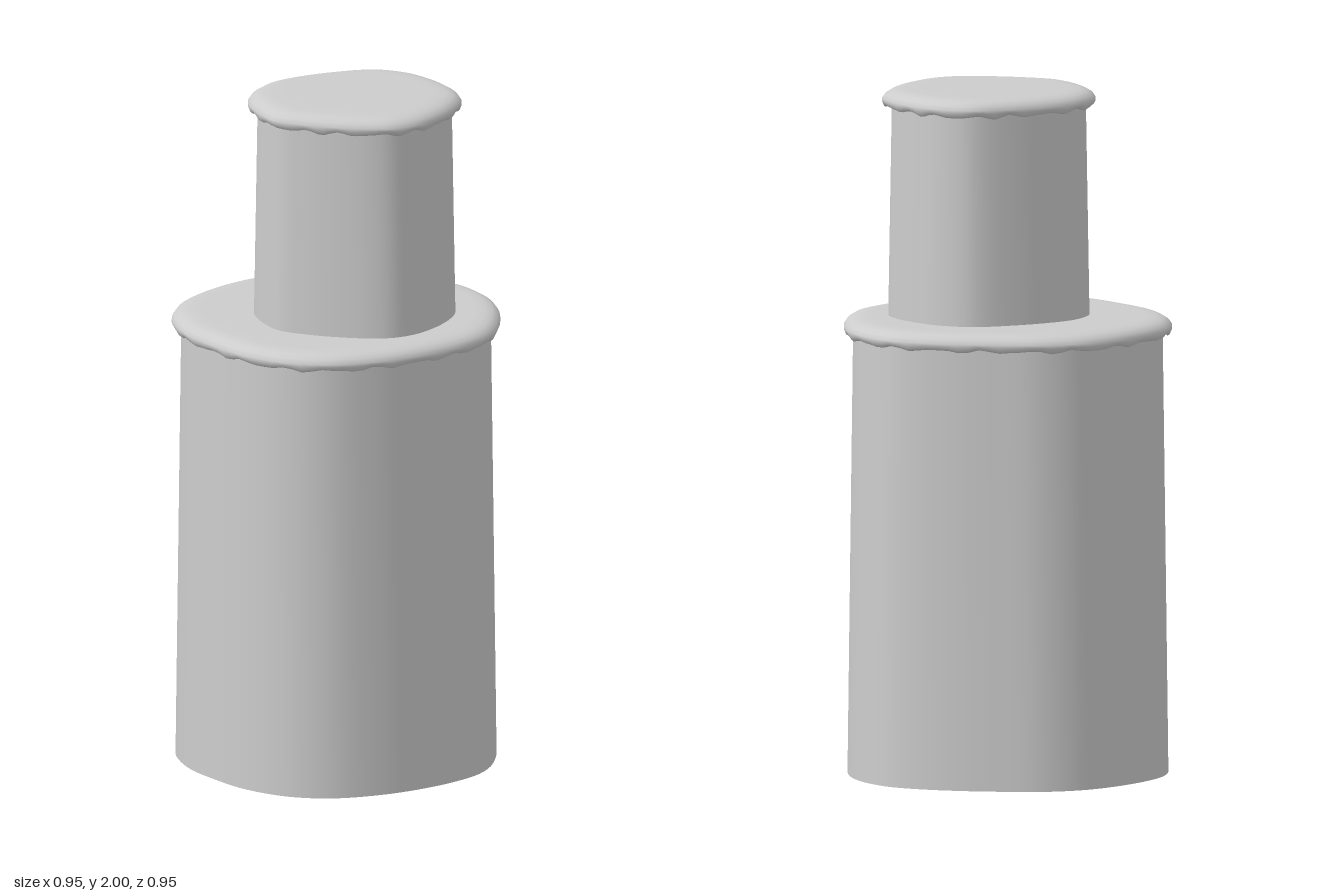
import * as THREE from 'three';

const SEG = 96;

// Closed smooth outline, as offsets from its own centre
function outline(points, cx, cz) {
  const curve = new THREE.CatmullRomCurve3(
    points.map(([x, z]) => new THREE.Vector3(x - cx, 0, z - cz)), true, 'centripetal');
  return curve.getSpacedPoints(SEG).slice(0, SEG);
}

// Skin through rings from top to bottom; each ring is [scale, y, waviness]
function loft(shape, cx, cz, rings, waves = 0) {
  const pos = [], index = [];
  for (const [s, y, wave = 0] of rings) {
    shape.forEach((p, j) => {
      const a = (j / SEG) * Math.PI * 2;
      const drip = wave * (0.65 * Math.sin(a * waves) + 0.35 * Math.sin(a * (waves * 2 - 9) + 1.3));
      pos.push(cx + p.x * s, y + drip, cz + p.z * s);
    });
  }
  for (let i = 0; i < rings.length - 1; i++) {
    for (let j = 0; j < SEG; j++) {
      const k = (j + 1) % SEG;
      const a = i * SEG + j, b = i * SEG + k, c = a + SEG, d = b + SEG;
      if (rings[i][0] > 0) index.push(a, b, c);
      index.push(b, d, c);
    }
  }
  const geo = new THREE.BufferGeometry();
  geo.setAttribute('position', new THREE.Float32BufferAttribute(pos, 3));
  geo.setIndex(index);
  geo.computeVertexNormals();
  return geo;
}

export function createModel() {
  const grey = new THREE.MeshStandardMaterial({ color: 0xcccccc, side: THREE.DoubleSide });
  grey.name = 'light grey';
  const model = new THREE.Group();
  model.name = 'steppedColumn';

  const lower = [
    [-0.05, -0.475], [0.1, -0.45], [0.2, -0.422], [0.3, -0.378], [0.387, -0.315], [0.445, -0.22],
    [0.471, -0.13], [0.477, -0.04], [0.466, 0.07], [0.44, 0.17], [0.4, 0.242], [0.32, 0.32],
    [0.22, 0.388], [0.1, 0.443], [-0.05, 0.472], [-0.18, 0.442], [-0.3, 0.352], [-0.39, 0.225],
    [-0.45, 0.11], [-0.479, -0.04], [-0.467, -0.13], [-0.44, -0.205], [-0.385, -0.285],
    [-0.29, -0.38], [-0.18, -0.45]];
  const upper = [
    [0.1, -0.281], [0.16, -0.275], [0.24, -0.228], [0.3, -0.155], [0.342, -0.075], [0.361, 0.015],
    [0.34, 0.1], [0.285, 0.2], [0.22, 0.272], [0.15, 0.309], [0.08, 0.312], [-0.02, 0.29],
    [-0.12, 0.25], [-0.2, 0.198], [-0.243, 0.1], [-0.261, 0], [-0.245, -0.08], [-0.19, -0.162],
    [-0.1, -0.22], [0, -0.259]];

  // One tier: open tapering wall plus a soft cap with a wavy overhanging lip
  function tier(name, points, cx, cz, radius, top, base, topScale, baseScale, waves) {
    const shape = outline(points, cx, cz);
    const inset = (d) => 1 - d / radius;
    const wall = loft(shape, cx, cz, [[topScale, top - 0.02], [baseScale, base]]);
    const cap = loft(shape, cx, cz, [
      [0, top], [0.5, top], [inset(0.075), top], [inset(0.045), top - 0.002],
      [inset(0.024), top - 0.007], [inset(0.009), top - 0.016], [inset(0.001), top - 0.028],
      [inset(0.001), top - 0.037, 0.002], [inset(0.006), top - 0.047, 0.005],
      [inset(0.012), top - 0.05, 0.006], [inset(0.018), top - 0.045, 0.005],
      [topScale, top - 0.036, 0.003]], waves);
    for (const [part, geo] of [['Wall', wall], ['Cap', cap]]) {
      const mesh = new THREE.Mesh(geo, grey);
      mesh.name = name + part;
      model.add(mesh);
    }
  }

  tier('lower', lower, 0, 0, 0.477, 1.337, 0, 0.94, 0.975, 21);
  tier('upper', upper, 0.05, 0.015, 0.305, 2, 1.33, 0.905, 0.94, 16);
  return model;
}
